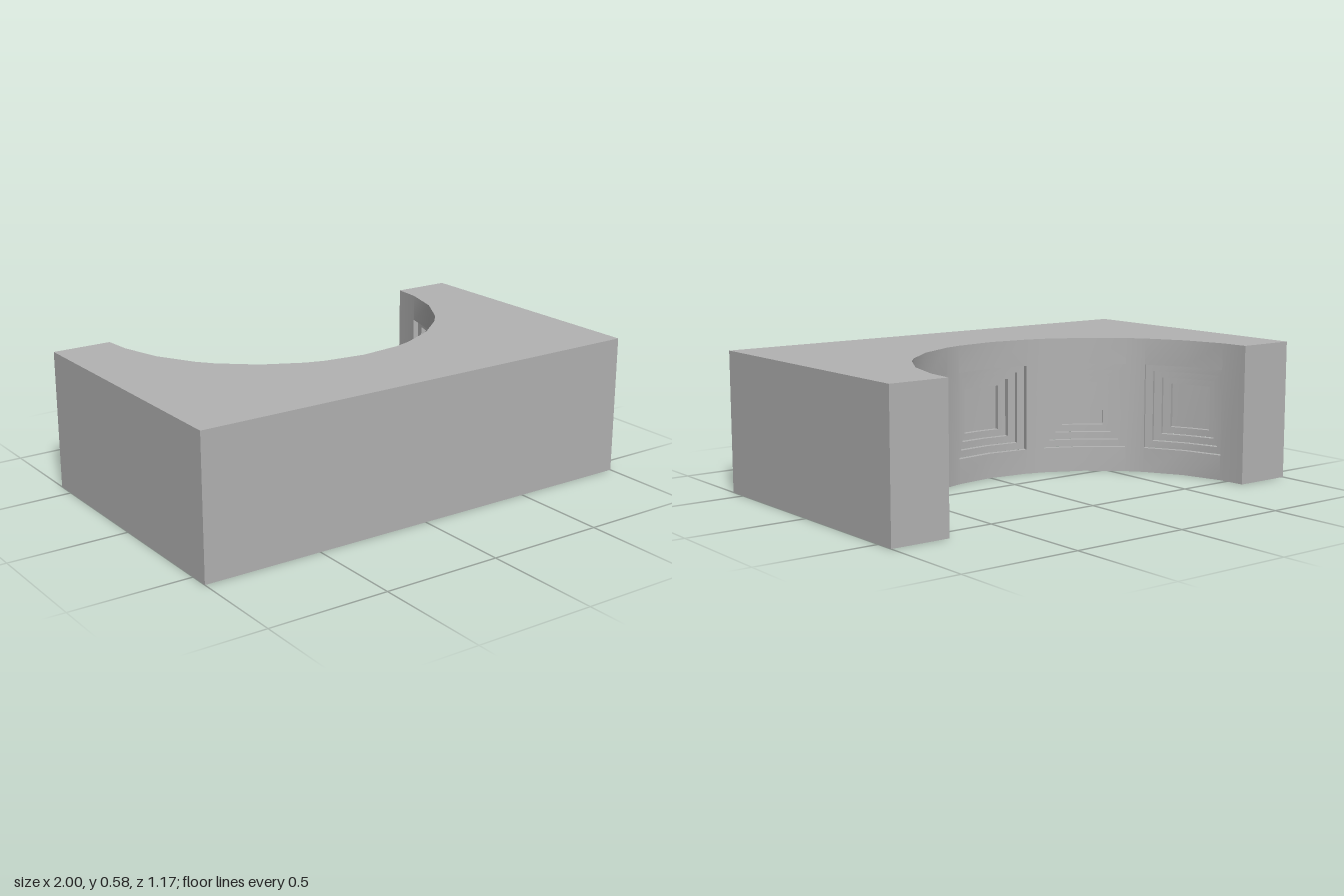
import * as THREE from 'three';
import { toCreasedNormals } from 'three/addons/utils/BufferGeometryUtils.js';

const H = 0.583, D = 0.583, R = 0.75;          // block height, half depth, niche radius
const PANELS = 5, LEVELS = 4, STEP = 0.023;    // coffers and their recessed steps
const deg = Math.PI / 180;
const PITCH = 33.57 * deg, MIDY = 0.288;
const halfAngle = k => (13.65 - 2.45 * (k - 1)) * deg;
const halfHeight = k => 0.182 - 0.029 * (k - 1);

// Point on the niche at angle a, height y, radius r
const P = (a, y, r) => [r * Math.cos(a), y, -D + r * Math.sin(a)];

function quad(out, a, b, c, d) {
  out.push(...a, ...b, ...c, ...a, ...c, ...d);
}

function meshFromQuads(positions, material, name, crease) {
  let geo = new THREE.BufferGeometry();
  geo.setAttribute('position', new THREE.Float32BufferAttribute(positions, 3));
  geo.computeVertexNormals();
  if (crease) geo = toCreasedNormals(geo, crease);
  const mesh = new THREE.Mesh(geo, material);
  mesh.name = name;
  return mesh;
}

// Piece of cylinder wall facing the niche axis
function patch(out, a0, a1, y0, y1, r) {
  if (a1 - a0 < 1e-6 || y1 - y0 < 1e-6) return;
  quad(out, P(a0, y0, r), P(a1, y0, r), P(a1, y1, r), P(a0, y1, r));
}

// One coffer: nested square frames, each set deeper than the last
function coffer(out, c) {
  for (let k = 0; k <= LEVELS; k++) {
    const r = R + k * STEP;
    const A = halfAngle(Math.max(k, 1));
    const Y0 = k ? MIDY - halfHeight(k) : 0;
    const Y1 = k ? MIDY + halfHeight(k) : H;
    if (k === LEVELS) {                          // innermost floor
      patch(out, c - A, c, Y0, Y1, r);
      patch(out, c, c + A, Y0, Y1, r);
      break;
    }
    const h = halfAngle(k + 1), y0 = MIDY - halfHeight(k + 1), y1 = MIDY + halfHeight(k + 1);
    const cols = [-A, -h, 0, h, A];
    for (let i = 0; i < 4; i++) {
      const a0 = c + cols[i], a1 = c + cols[i + 1];
      patch(out, a0, a1, Y0, y0, r);
      patch(out, a0, a1, y1, Y1, r);
      if (i === 0 || i === 3) patch(out, a0, a1, y0, y1, r);
    }
    // step sides around the opening
    const loop = [[-h, y0], [0, y0], [h, y0], [h, y1], [0, y1], [-h, y1]];
    loop.forEach(([pa, py], i) => {
      const [qa, qy] = loop[(i + 1) % loop.length];
      quad(out, P(c + pa, py, r), P(c + qa, qy, r), P(c + qa, qy, r + STEP), P(c + pa, py, r + STEP));
    });
  }
}

export function createModel() {
  const group = new THREE.Group();
  group.name = 'cofferedNicheBlock';
  const stone = new THREE.MeshStandardMaterial({ color: 0xb2b2b2 });
  stone.name = 'grey stone';

  // Break angles of the niche wall: coffer edges and middles
  const centres = Array.from({ length: PANELS }, (_, i) => Math.PI / 2 + (i - (PANELS - 1) / 2) * PITCH);
  const w = halfAngle(1);
  const angles = [0, ...centres.flatMap(c => [c - w, c, c + w]), Math.PI];

  // Top and bottom faces
  const slab = (sign, y, name) => {
    const pts = [[1, -D], [1, D], [-1, D], [-1, -D]];
    for (const a of [...angles].reverse()) {
      const [x, , z] = P(a, 0, R);
      pts.push([x, z]);
    }
    const shape = new THREE.Shape(pts.map(([x, z]) => new THREE.Vector2(x, -sign * z)));
    const geo = new THREE.ShapeGeometry(shape);
    geo.rotateX(-sign * Math.PI / 2).translate(0, y, 0);
    const mesh = new THREE.Mesh(geo, stone);
    mesh.name = name;
    group.add(mesh);
  };
  slab(1, H, 'topFace');
  slab(-1, 0, 'bottomFace');

  // Straight outer walls
  const outer = [];
  const runs = [[-1, D, 1, D], [1, D, 1, -D], [1, -D, R, -D], [-R, -D, -1, -D], [-1, -D, -1, D]];
  for (const [x0, z0, x1, z1] of runs) {
    quad(outer, [x0, 0, z0], [x1, 0, z1], [x1, H, z1], [x0, H, z0]);
  }
  group.add(meshFromQuads(outer, stone, 'outerWalls'));

  // Curved niche: plain piers between the coffers
  const niche = [];
  for (let i = 0; i <= PANELS; i++) {
    patch(niche, i ? centres[i - 1] + w : 0, i < PANELS ? centres[i] - w : Math.PI, 0, H, R);
  }
  centres.forEach(c => coffer(niche, c));
  group.add(meshFromQuads(niche, stone, 'cofferedNicheWall', 0.5));

  return group;
}
